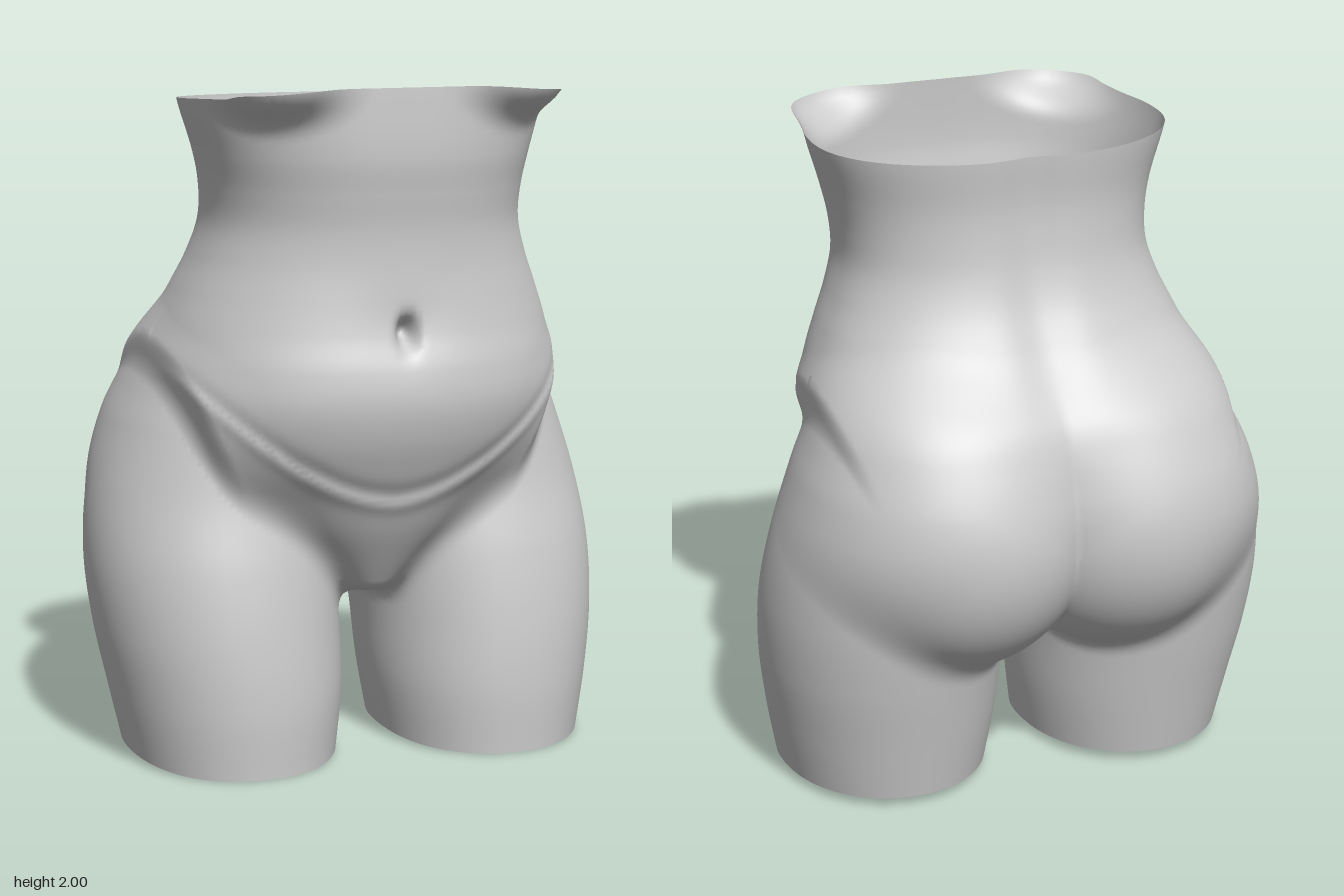
import * as THREE from 'three';

// Cross-section tables, rows ordered by height
// torso: y, half width, front z, back z
const TORSO = [
  [0.4, 0.08, 0.24, -0.16], [0.5, 0.12, 0.31, -0.22], [0.6, 0.23, 0.375, -0.3], [0.7, 0.35, 0.435, -0.35],
  [0.8, 0.46, 0.485, -0.4], [0.9, 0.55, 0.535, -0.43], [1.0, 0.6, 0.575, -0.445], [1.1, 0.62, 0.595, -0.455],
  [1.2, 0.612, 0.588, -0.445], [1.3, 0.587, 0.562, -0.39], [1.4, 0.546, 0.545, -0.327], [1.5, 0.503, 0.535, -0.275],
  [1.6, 0.474, 0.536, -0.243], [1.7, 0.476, 0.548, -0.227], [1.8, 0.497, 0.56, -0.221],
  [1.95, 0.542, 0.558, -0.231], [2.1, 0.57, 0.55, -0.235],
];
// leg: y, inner x, outer x, front z, back z
const LEG = [
  [0, 0.085, 0.705, 0.45, -0.3], [0.2, 0.057, 0.745, 0.455, -0.34], [0.4, 0.048, 0.777, 0.44, -0.38],
  [0.6, 0.035, 0.785, 0.408, -0.415], [0.8, 0.03, 0.757, 0.36, -0.44], [1.0, 0.06, 0.69, 0.33, -0.43],
  [1.1, 0.08, 0.645, 0.31, -0.4], [1.2, 0.1, 0.602, 0.28, -0.36], [1.3, 0.12, 0.565, 0.24, -0.31],
  [1.5, 0.2, 0.46, 0.14, -0.2],
];

const clamp = THREE.MathUtils.clamp;
const smooth = THREE.MathUtils.smoothstep;
const bell = (v, r) => Math.exp(-(v * v) / (r * r));

// Slight sideways sway of the midline
const centre = (y) => 0.016 - 0.02 * bell(y - 0.8, 0.5);

// Smooth interpolation of a table row at height y
function rowAt(table, y) {
  let i = 0;
  while (i < table.length - 2 && y > table[i + 1][0]) i++;
  const a = table[i], b = table[i + 1];
  const p = table[Math.max(i - 1, 0)], n = table[Math.min(i + 2, table.length - 1)];
  const h = b[0] - a[0], t = clamp((y - a[0]) / h, 0, 1), s = 1 - t;
  return a.map((v, k) => {
    const ma = ((b[k] - p[k]) / (b[0] - p[0])) * h;
    const mb = ((n[k] - v) / (n[0] - a[0])) * h;
    return v * (1 + 2 * t) * s * s + ma * t * s * s + b[k] * t * t * (3 - 2 * t) - mb * t * t * s;
  });
}

// Rows cached at fine steps
const STEPS = 1000, TOP = 2.1;
const cache = (table) => Array.from({ length: STEPS + 2 }, (_, i) => rowAt(table, (i / STEPS) * TOP));
const torsoRows = cache(TORSO), legRows = cache(LEG);
function lookup(rows, y) {
  const f = (clamp(y, 0, TOP) / TOP) * STEPS, i = Math.floor(f), t = f - i;
  return rows[i].map((v, k) => v + (rows[i + 1][k] - v) * t);
}

// Rounded section with separate front and back depths
function section(x, z, w, front, back, zc, n) {
  const d = z > zc ? front - zc : zc - back;
  const e = Math.pow(Math.pow(Math.abs(x) / w, n) + Math.pow(Math.abs(z - zc) / d, n), 1 / n);
  return (e - 1) * Math.min(w, d);
}

function ellipsoid(x, y, z, rx, ry, rz) {
  return (Math.hypot(x / rx, y / ry, z / rz) - 1) * Math.min(rx, ry, rz);
}

// Soft union of two parts
function blend(a, b, k) {
  const h = Math.max(k - Math.abs(a - b), 0) / k;
  return Math.min(a, b) - (h * h * k) / 4;
}

// Body field: negative inside, positive outside
function body(px, y, z) {
  const x = Math.abs(px - centre(y));
  const [, w, tf, tb] = lookup(torsoRows, y);
  let f = section(x, z, w, tf, tb, tb + (tf - tb) * 0.46, 2.25);
  f = -blend(-f, y - 0.485 - 2 * x * x, 0.05);

  // thighs, fading out above the hips, and buttocks
  const [, inner, outer, lf, lb] = lookup(legRows, y);
  let leg = section(x - (inner + outer) / 2, z, (outer - inner) / 2, lf, lb, (lf + lb) / 2, 2.08);
  leg += 3 * Math.max(y - 1.15, 0) ** 2;
  const buttock = ellipsoid(x - 0.25, y - 0.84, z + 0.2, 0.4, 0.425, 0.393);
  leg = blend(leg, buttock, 0.05 + 0.1 * smooth(y, 0.5, 0.9));
  f = blend(f, leg, 0.07 + 0.08 * smooth(y, 0.65, 1));

  // chest swellings at the upper rim
  f = blend(f, ellipsoid(x - 0.325, y - 2.03, z - 0.4, 0.2, 0.135, 0.19), 0.055);

  if (z > 0) {
    // navel, midline and fold under the belly
    f += 0.065 * bell(x - 0.005, 0.024) * bell(y - 1.305, 0.042);
    f += 0.012 * bell(x, 0.12) * bell(y - 1.33, 0.12);
    f += 0.006 * bell(x, 0.09) * smooth(y, 1.35, 1.6);
    const fold = y - (0.8 + 0.4 * Math.pow(x / 0.63, 1.7));
    const depth = 0.006 * (1 - 0.5 * smooth(x, 0.2, 0.55)) * smooth(z, 0.05, 0.3);
    f += depth * (bell(fold - 0.03, 0.03) - bell(fold + 0.005, 0.027));
  } else {
    // groove of the spine
    f += 0.026 * bell(x, 0.09) * smooth(y, 1.1, 1.4) * smooth(-z, 0, 0.15);
  }
  return f;
}

function gradient(p, out) {
  const e = 0.003;
  return out.set(
    body(p.x + e, p.y, p.z) - body(p.x - e, p.y, p.z),
    body(p.x, p.y + e, p.z) - body(p.x, p.y - e, p.z),
    body(p.x, p.y, p.z + e) - body(p.x, p.y, p.z - e),
  ).divideScalar(2 * e);
}

// Grid point; the first and last layers follow the cut rims
const N = [103, 116, 80];
function gridPoint(i, j, k, out) {
  const x = 1.7 * (i / N[0] - 0.5), z = -0.66 + (1.32 * k) / N[2];
  const low = 0.03 - 0.027 * smooth(z, 0, 0.45);
  const lift = 0.028 * smooth(z, 0.4, 0.52) * (1 - 0.6 * smooth(Math.abs(x), 0.2, 0.5));
  const high = 1.942 + 0.03 * clamp((z + 0.22) / 0.7, 0, 1) + lift;
  const y = low + ((high - low) * j) / N[1];
  return out.set(centre(y) + x, y, z);
}

// Skin: one vertex per crossed cell, one quad per crossed edge, ends left open
function skinGeometry() {
  const p = new THREE.Vector3(), g = new THREE.Vector3();
  const id = (i, j, k) => (i * (N[1] + 1) + j) * (N[2] + 1) + k;
  const size = id(N[0], N[1], N[2]) + 1;
  const value = new Float32Array(size), vertex = new Int32Array(size).fill(-1);
  for (let i = 0; i <= N[0]; i++) for (let j = 0; j <= N[1]; j++) for (let k = 0; k <= N[2]; k++) {
    gridPoint(i, j, k, p);
    value[id(i, j, k)] = body(p.x, p.y, p.z);
  }
  const positions = [], normals = [], index = [];
  const step = [id(1, 0, 0), id(0, 1, 0), id(0, 0, 1)];

  const addVertex = (i, j, k) => {
    const sum = [0, 0, 0];
    let count = 0;
    for (let a = 0; a < 3; a++) for (let m = 0; m < 4; m++) {
      const c = [0, 0, 0];
      c[(a + 1) % 3] = m & 1;
      c[(a + 2) % 3] = m >> 1;
      const s = id(i + c[0], j + c[1], k + c[2]), v0 = value[s], v1 = value[s + step[a]];
      if (v0 < 0 === v1 < 0) continue;
      c[a] = v0 / (v0 - v1);
      c.forEach((v, q) => { sum[q] += v; });
      count++;
    }
    if (!count) return;
    const end = j === 0 || j === N[1] - 1;
    const t = j === 0 ? 0 : end ? N[1] : j + sum[1] / count;
    gridPoint(i + sum[0] / count, t, k + sum[2] / count, p);
    // settle the vertex onto the surface
    for (let r = 0; r < 3; r++) {
      gradient(p, g);
      if (end) g.y = 0;
      const move = -body(p.x, p.y, p.z) / Math.max(g.lengthSq(), 0.2);
      p.addScaledVector(g, clamp(move, -0.008, 0.008));
    }
    gradient(p, g).normalize();
    vertex[id(i, j, k)] = positions.length / 3;
    positions.push(p.x, p.y, p.z);
    normals.push(g.x, g.y, g.z);
  };
  for (let i = 0; i < N[0]; i++) for (let j = 0; j < N[1]; j++) for (let k = 0; k < N[2]; k++) addVertex(i, j, k);

  for (let i = 1; i < N[0]; i++) for (let j = 0; j < N[1]; j++) for (let k = 1; k < N[2]; k++) {
    const s = id(i, j, k);
    for (let a = 0; a < 3; a++) {
      if (a !== 1 && j === 0) continue;
      const inside = value[s] < 0;
      if (inside === value[s + step[a]] < 0) continue;
      const b = step[(a + 1) % 3], c = step[(a + 2) % 3];
      const q = [s, s - b, s - b - c, s - c].map((n) => vertex[n]);
      if (q.some((n) => n < 0)) continue;
      if (!inside) q.reverse();
      index.push(q[0], q[1], q[2], q[0], q[2], q[3]);
    }
  }
  const geometry = new THREE.BufferGeometry();
  geometry.setAttribute('position', new THREE.Float32BufferAttribute(positions, 3));
  geometry.setAttribute('normal', new THREE.Float32BufferAttribute(normals, 3));
  return geometry.setIndex(index);
}

export function createModel() {
  const model = new THREE.Group();
  model.name = 'torsoStudy';
  const material = new THREE.MeshStandardMaterial({ color: 0xcccccc, side: THREE.DoubleSide });
  const skin = new THREE.Mesh(skinGeometry(), material);
  skin.name = 'torsoAndThighs';
  model.add(skin);
  return model;
}
